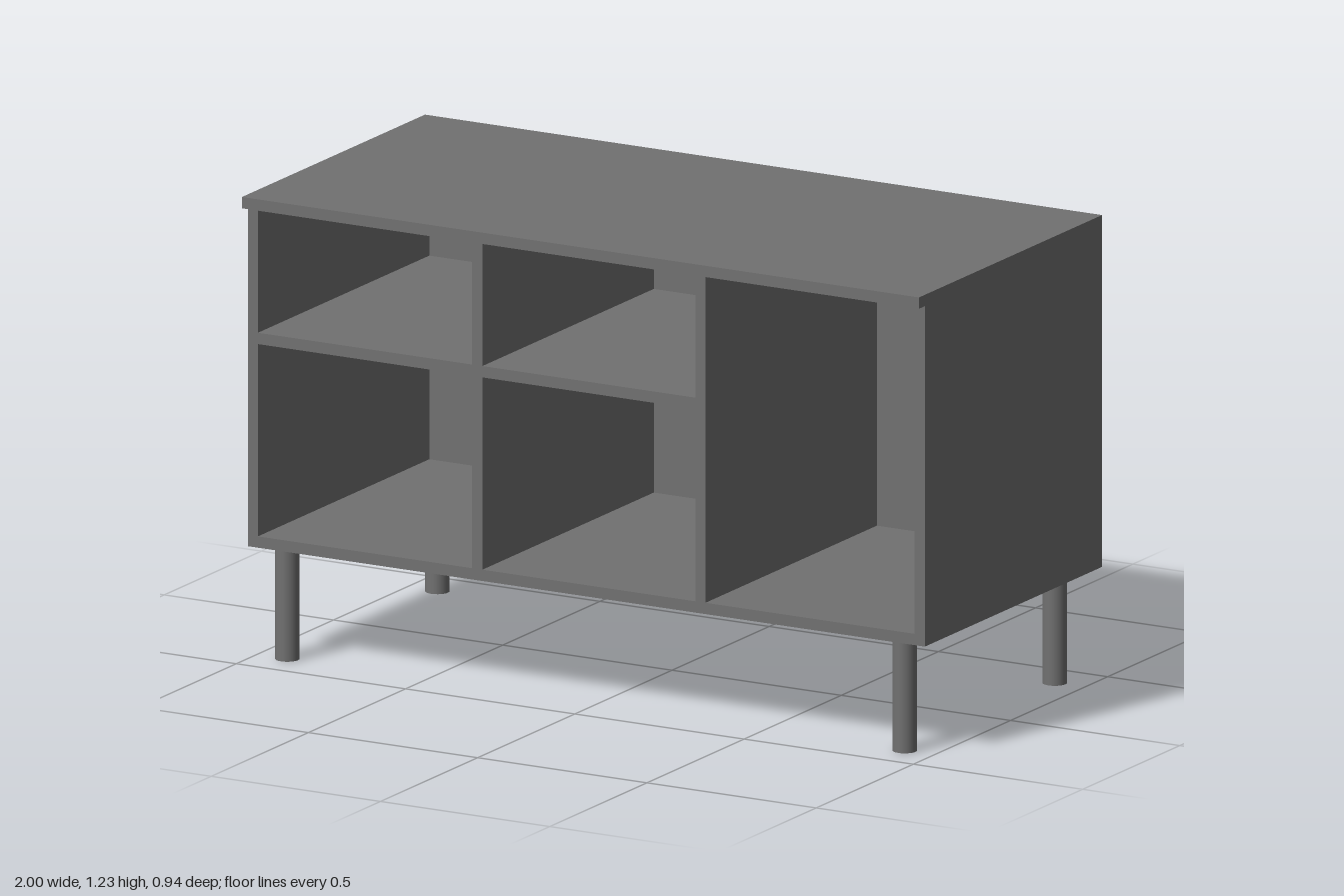
import * as THREE from 'three';

const material = new THREE.MeshStandardMaterial({ color: 0x717171 });

export function createModel() {
  const model = new THREE.Group();
  model.name = 'sideboard';

  // Adds a board spanning the given ranges
  const board = (name, [x0, x1], [y0, y1], [z0, z1]) => {
    const mesh = new THREE.Mesh(new THREE.BoxGeometry(x1 - x0, y1 - y0, z1 - z0), material);
    mesh.position.set((x0 + x1) / 2, (y0 + y1) / 2, (z0 + z1) / 2);
    mesh.name = name;
    model.add(mesh);
  };

  const base = 0.298, floor = 0.328, top = 1.201, height = 1.231;
  const back = -0.471, inner = -0.441, front = 0.441;
  const depth = [inner, front];

  // Carcass
  board('topPanel', [-1, 1], [top, height], [back, 0.471]);
  board('bottomPanel', [-1, 1], [base, floor], [back, front]);
  board('rightSide', [-1, -0.97], [floor, top], [back, front]);
  board('leftSide', [0.97, 1], [floor, top], [back, front]);
  board('backPanel', [-0.97, 0.97], [floor, top], [back, inner]);

  // Upright dividers and shelves
  board('outerDivider', [-0.337, -0.307], [floor, top], depth);
  board('innerDivider', [0.322, 0.352], [floor, top], depth);
  board('outerShelf', [-0.97, -0.337], [0.838, 0.868], depth);
  board('middleShelf', [-0.307, 0.322], [0.838, 0.868], depth);

  // Round legs
  const legGeometry = new THREE.CylinderGeometry(0.0315, 0.0315, base, 32);
  for (const [xName, x] of [['Right', -0.912], ['Left', 0.912]]) {
    for (const [zName, z] of [['front', 0.391], ['back', -0.381]]) {
      const leg = new THREE.Mesh(legGeometry, material);
      leg.position.set(x, base / 2, z);
      leg.name = `${zName}${xName}Leg`;
      model.add(leg);
    }
  }
  return model;
}
